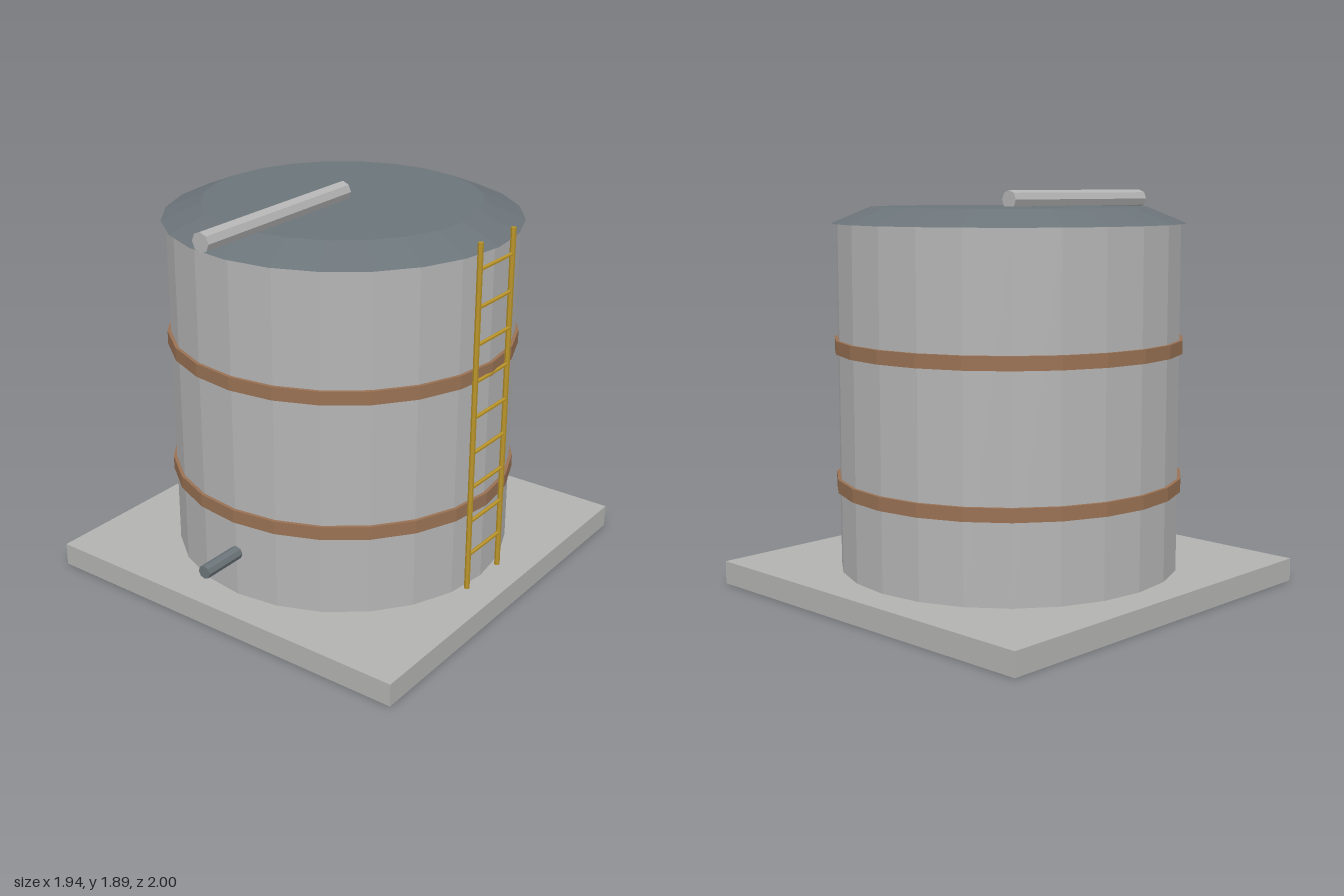
import * as THREE from 'three';

const mat = (name, color) => {
  const m = new THREE.MeshStandardMaterial({ color, flatShading: true });
  m.name = name;
  return m;
};

export function createModel() {
  const concrete = mat('concrete', 0xb2b2b0);
  const steel = mat('paleSteel', 0xb4b4b4);
  const roofGrey = mat('darkGrey', 0x6b7479);
  const rust = mat('rustBrown', 0x987153);
  const yellow = mat('ladderYellow', 0xb8932a);

  const model = new THREE.Group();
  model.name = 'storageTank';
  const cz = -0.03; // tank axis

  const add = (name, geometry, material, x, y, z, parent = model) => {
    const mesh = new THREE.Mesh(geometry, material);
    mesh.name = name;
    mesh.position.set(x, y, z);
    parent.add(mesh);
    return mesh;
  };

  // Upright cylinder spanning y0..y1 about the tank axis
  const drum = (name, rTop, rBottom, y0, y1, material) =>
    add(name, new THREE.CylinderGeometry(rTop, rBottom, y1 - y0, 24), material, 0, (y0 + y1) / 2, cz);

  // Horizontal pipe running along z
  const pipe = (name, r, y, z0, z1, material) =>
    add(name, new THREE.CylinderGeometry(r, r, z1 - z0, 8).rotateX(Math.PI / 2), material, 0, y, (z0 + z1) / 2);

  // Foundation, shell, roof and hoops
  add('baseSlab', new THREE.BoxGeometry(1.94, 0.11, 1.94), concrete, 0, 0.055, cz);
  drum('tankShell', 0.81, 0.81, 0.11, 1.738, steel);
  drum('roof', 0.648, 0.832, 1.737, 1.813, roofGrey);
  drum('lowerBand', 0.826, 0.826, 0.49, 0.553, rust);
  drum('upperBand', 0.826, 0.826, 1.14, 1.203, rust);

  // Pipes
  pipe('roofPipe', 0.045, 1.845, cz, 0.94, steel);
  pipe('outletPipe', 0.032, 0.328, 0.74, 1.0, roofGrey);

  // Ladder on the left side
  const ladder = new THREE.Group();
  ladder.name = 'ladder';
  model.add(ladder);
  for (const side of [-1, 1]) {
    add('ladderRail', new THREE.CylinderGeometry(0.013, 0.013, 1.68, 6), yellow, 0.82, 0.95, cz + side * 0.135, ladder);
  }
  for (let i = 0; i < 9; i++) {
    add('ladderRung', new THREE.CylinderGeometry(0.0095, 0.0095, 0.27, 6).rotateX(Math.PI / 2),
      yellow, 0.82, 0.285 + i * 0.173, cz, ladder);
  }
  return model;
}
